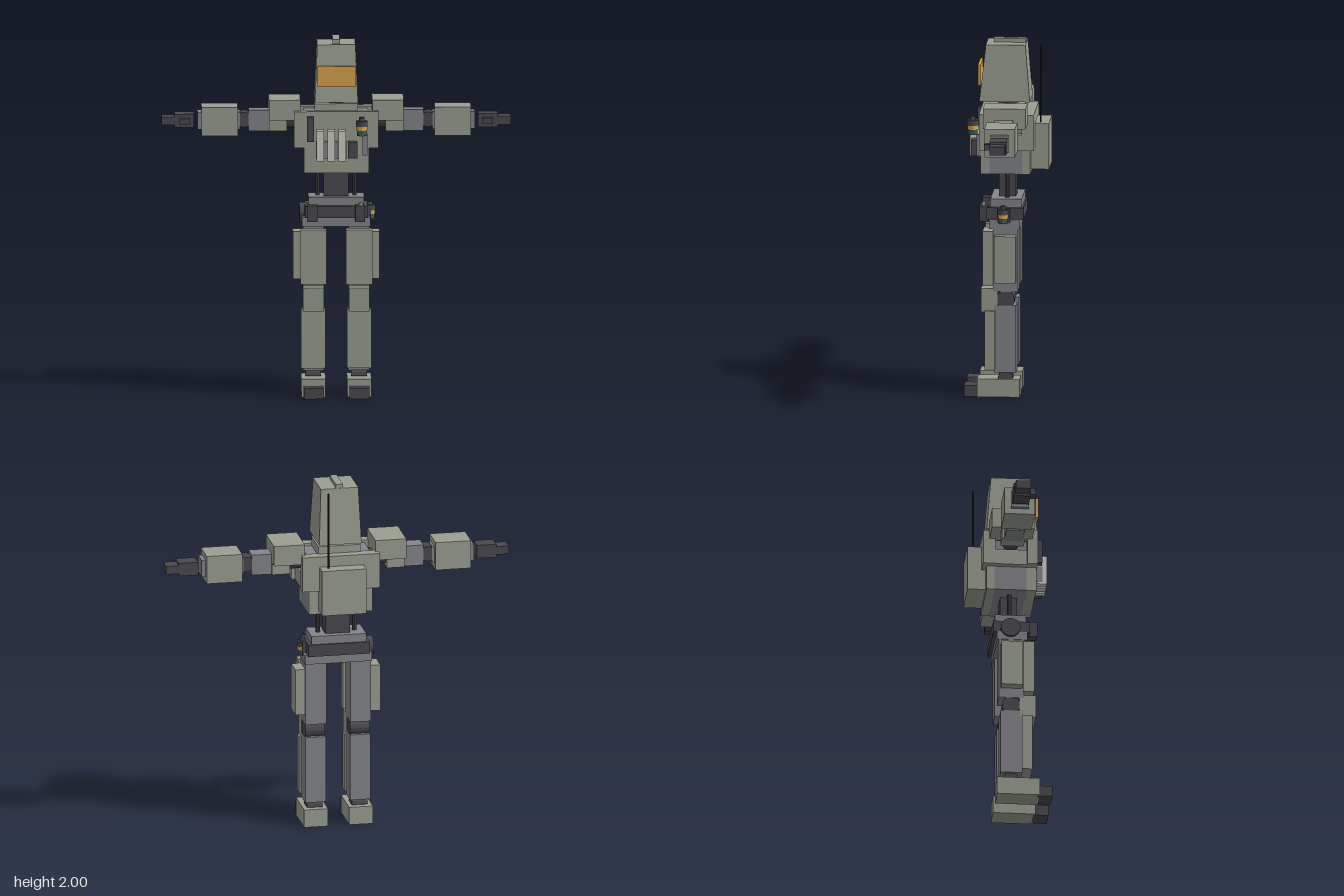
import * as THREE from 'three';

const mat = (color) => new THREE.MeshStandardMaterial({ color, flatShading: true });

export function createModel() {
  const model = new THREE.Group();
  model.name = 'armouredRobot';
  const armour = mat(0x9a9f92), frame = mat(0x85868b), dark = mat(0x4a494f);
  const orange = mat(0xdba64e), light = mat(0xd2d1ca), teal = mat(0x3f5a58), black = mat(0x222224);

  const add = (parent, name, geometry, material) => {
    const mesh = new THREE.Mesh(geometry, material);
    mesh.name = name;
    parent.add(mesh);
    return mesh;
  };
  // Box given by its limits on each axis
  const box = (parent, name, material, x0, x1, y0, y1, z0, z1) => {
    const m = add(parent, name, new THREE.BoxGeometry(x1 - x0, y1 - y0, z1 - z0), material);
    m.position.set((x0 + x1) / 2, (y0 + y1) / 2, (z0 + z1) / 2);
    return m;
  };
  // Cylinder along a chosen axis
  const rod = (parent, name, material, axis, r, length, x, y, z, sides = 16) => {
    const g = new THREE.CylinderGeometry(r, r, length, sides);
    if (axis === 'x') g.rotateZ(Math.PI / 2);
    if (axis === 'z') g.rotateX(Math.PI / 2);
    const m = add(parent, name, g, material);
    m.position.set(x, y, z);
    return m;
  };
  const group = (name) => {
    const g = new THREE.Group();
    g.name = name;
    model.add(g);
    return g;
  };

  // Head: a box tapering towards the top
  const head = group('head');
  const shell = new THREE.BoxGeometry(0.24, 0.32, 0.282);
  const p = shell.attributes.position;
  for (let i = 0; i < p.count; i++) {
    if (p.getY(i) > 0) {
      p.setX(i, Math.sign(p.getX(i)) * 0.106);
      p.setZ(i, p.getZ(i) > 0 ? 0.105 : -0.116);
    }
  }
  shell.computeVertexNormals();
  add(head, 'helmet', shell, armour).position.set(0, 1.817, 0.014);
  box(head, 'crest', armour, -0.02, 0.02, 1.97, 2, -0.1, 0.08);
  box(head, 'visor', orange, -0.105, 0.105, 1.745, 1.862, 0.148, 0.163);
  rod(head, 'neck', dark, 'y', 0.075, 0.08, 0, 1.63, 0);
  box(head, 'collar', armour, -0.12, 0.12, 1.59, 1.642, -0.1, 0.1);

  // Torso: grey core between front and back plates
  const torso = group('torso');
  box(torso, 'torsoCore', frame, -0.18, 0.18, 1.26, 1.59, -0.09, 0.095);
  box(torso, 'chestPlate', armour, -0.235, 0.235, 1.4, 1.605, 0.09, 0.15);
  box(torso, 'bellyPlate', armour, -0.18, 0.18, 1.26, 1.4, 0.09, 0.145);
  box(torso, 'backPlate', armour, -0.22, 0.22, 1.4, 1.6, -0.155, -0.088);
  box(torso, 'lowerBackPlate', armour, -0.18, 0.18, 1.26, 1.4, -0.133, -0.088);
  box(torso, 'backpack', armour, -0.125, 0.125, 1.28, 1.54, -0.235, -0.13);
  rod(torso, 'antenna', black, 'y', 0.005, 0.44, 0.08, 1.755, -0.185, 8);

  // Chest equipment
  const gear = group('chestGear');
  for (const x of [-0.09, -0.03, 0.03])
    box(gear, 'magazine', light, x - 0.021, x + 0.021, 1.335, 1.505, 0.15, 0.212);
  box(gear, 'magazineBand', frame, -0.115, 0.055, 1.345, 1.44, 0.148, 0.185);
  box(gear, 'radio', dark, -0.165, -0.125, 1.44, 1.578, 0.148, 0.18);
  box(gear, 'chestPouch', dark, 0.063, 0.115, 1.35, 1.44, 0.145, 0.2);
  box(gear, 'strap', frame, 0.145, 0.172, 1.36, 1.48, 0.145, 0.168);

  // Small canister with an orange band
  const canister = (parent, x, y, z, s) => {
    rod(parent, 'canisterBase', teal, 'y', 0.027 * s, 0.03 * s, x, y - 0.034 * s, z, 12);
    rod(parent, 'canisterBand', orange, 'y', 0.031 * s, 0.022 * s, x, y - 0.008 * s, z, 12);
    rod(parent, 'canisterTop', dark, 'y', 0.033 * s, 0.03 * s, x, y + 0.018 * s, z, 12);
    rod(parent, 'canisterCap', dark, 'y', 0.016 * s, 0.022 * s, x, y + 0.042 * s, z, 12);
  };
  canister(gear, 0.14, 1.525, 0.19, 1);

  // Waist and pelvis
  const waist = group('waist');
  box(waist, 'spine', dark, -0.07, 0.07, 1.1, 1.27, -0.047, 0.047);
  box(waist, 'pelvisTop', frame, -0.155, 0.155, 1.06, 1.115, -0.085, 0.09);
  box(waist, 'belt', dark, -0.175, 0.175, 1, 1.068, -0.095, 0.11);
  box(waist, 'hipBlock', frame, -0.19, 0.19, 0.95, 1.003, -0.075, 0.095);
  box(waist, 'beltPouch', dark, -0.163, -0.105, 0.985, 1.075, 0.1, 0.152);
  box(waist, 'beltPouch', dark, 0.105, 0.158, 0.985, 1.075, 0.1, 0.152);
  rod(waist, 'pouchCap', light, 'y', 0.012, 0.018, 0.135, 1.083, 0.13, 10);
  rod(waist, 'hipDrum', dark, 'x', 0.055, 0.04, -0.185, 1.02, 0, 16);
  box(waist, 'hipMount', dark, 0.165, 0.195, 0.985, 1.065, -0.02, 0.05);
  canister(waist, 0.187, 1.03, 0.018, 0.95);

  // Limbs, built on +x and repeated on -x
  for (const s of [1, -1]) {
    const side = s > 0 ? 'left' : 'right';
    const arm = group(side + 'Arm'), leg = group(side + 'Leg');
    const both = (parent, name, material, x0, x1, ...rest) =>
      box(parent, name, material, Math.min(s * x0, s * x1), Math.max(s * x0, s * x1), ...rest);

    rod(waist, 'wasteRod'.replace('waste', 'waist'), dark, 'y', 0.013, 0.16, s * 0.103, 1.185, 0, 10);
    both(torso, 'sidePlate', armour, 0.175, 0.215, 1.4, 1.49, -0.09, 0.095);

    // Arm, held straight out
    rod(arm, 'shoulderJoint', dark, 'x', 0.045, 0.12, s * 0.24, 1.54, 0);
    both(arm, 'shoulderPad', armour, 0.2, 0.375, 1.55, 1.665, -0.12, 0.118);
    both(arm, 'shoulderGuard', armour, 0.275, 0.375, 1.483, 1.56, -0.065, 0.065);
    both(arm, 'upperArm', frame, 0.34, 0.487, 1.483, 1.6, -0.05, 0.052);
    rod(arm, 'elbow', dark, 'z', 0.043, 0.095, s * 0.513, 1.545, 0);
    both(arm, 'forearmCore', frame, 0.535, 0.772, 1.492, 1.588, -0.05, 0.05);
    both(arm, 'forearmArmour', armour, 0.548, 0.75, 1.46, 1.62, -0.085, 0.085);
    both(arm, 'hand', dark, 0.79, 0.9, 1.502, 1.577, -0.047, 0.047);
    both(arm, 'fingers', dark, 0.89, 0.972, 1.515, 1.562, -0.042, 0.042);
    both(arm, 'thumb', dark, 0.815, 0.872, 1.524, 1.556, 0.04, 0.08);

    // Leg
    rod(leg, 'hipJoint', dark, 'x', 0.05, 0.1, s * 0.127, 0.975, 0);
    both(leg, 'thigh', frame, 0.068, 0.186, 0.595, 0.968, -0.065, 0.075);
    both(leg, 'thighPlate', armour, 0.054, 0.2, 0.63, 0.937, 0.072, 0.132);
    both(leg, 'thighSidePlate', armour, 0.184, 0.241, 0.652, 0.917, -0.055, 0.065);
    rod(leg, 'knee', dark, 'x', 0.052, 0.112, s * 0.127, 0.552, 0.005);
    both(leg, 'kneeGuard', armour, 0.069, 0.185, 0.48, 0.612, 0.05, 0.142);
    both(leg, 'shin', frame, 0.069, 0.185, 0.137, 0.517, -0.055, 0.067);
    both(leg, 'shinPlate', armour, 0.06, 0.196, 0.157, 0.487, 0.064, 0.122);
    rod(leg, 'ankle', dark, 'x', 0.042, 0.088, s * 0.127, 0.107, 0.005);
    both(leg, 'foot', armour, 0.06, 0.195, 0, 0.102, -0.075, 0.163);
    both(leg, 'toe', dark, 0.072, 0.183, 0, 0.062, 0.15, 0.236);
  }
  return model;
}
